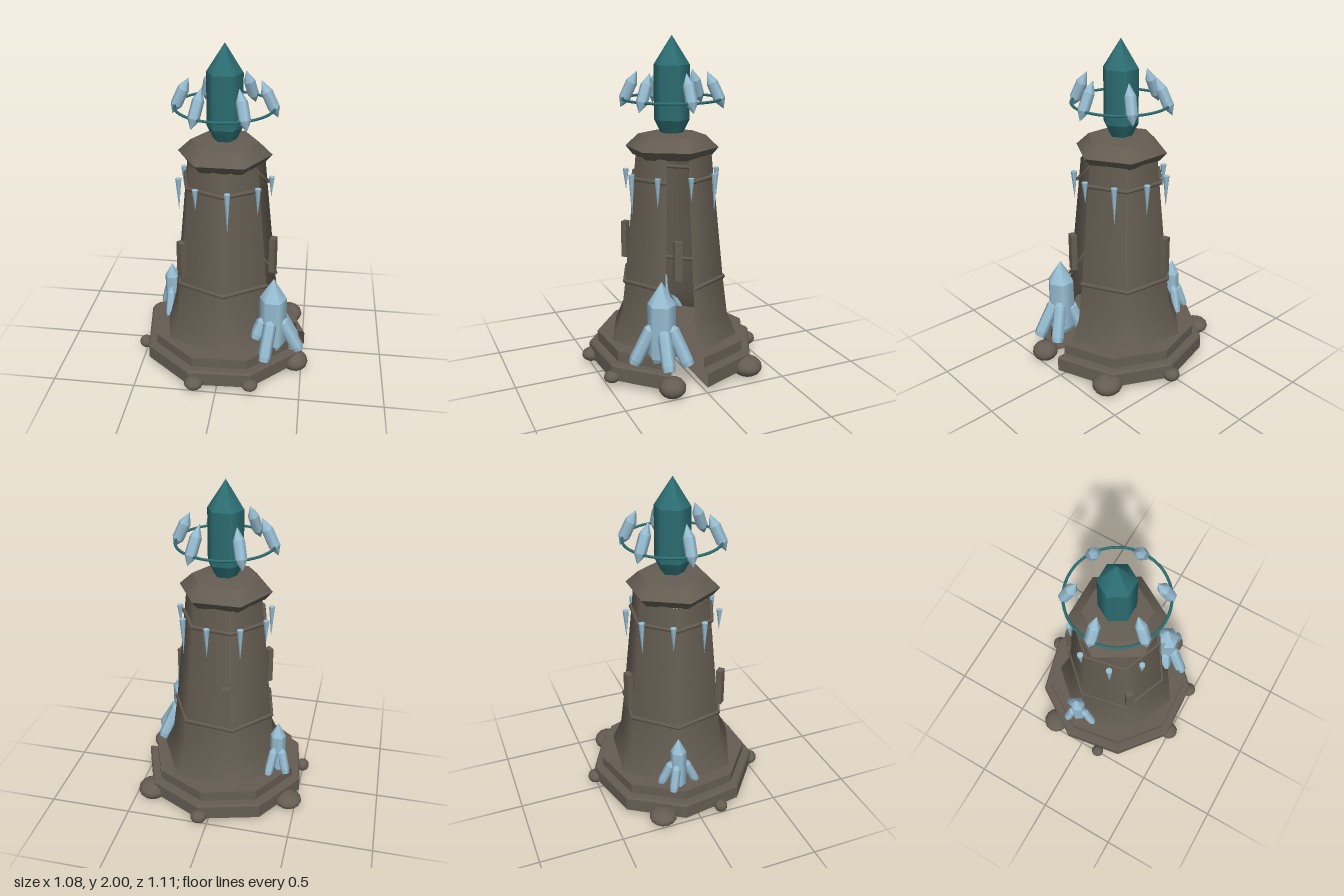
import * as THREE from 'three';
import { mergeGeometries } from 'three/addons/utils/BufferGeometryUtils.js';

const V = (x, y, z) => new THREE.Vector3(x, y, z);
const rad = THREE.MathUtils.degToRad;

export function createModel() {
  const model = new THREE.Group();
  const stone = new THREE.MeshStandardMaterial({ color: 0x655d52, side: THREE.DoubleSide });
  stone.name = 'stone';
  const ice = new THREE.MeshStandardMaterial({ color: 0x98bfd4 });
  ice.name = 'paleIce';
  const teal = new THREE.MeshStandardMaterial({ color: 0x2c6e73 });
  teal.name = 'teal';

  // The tower axis sits slightly off the origin
  const tower = new THREE.Group();
  tower.name = 'tower';
  tower.position.set(-0.005, 0, 0.005);
  model.add(tower);

  const add = (parent, name, geometry, material) => {
    const mesh = new THREE.Mesh(geometry, material);
    mesh.name = name;
    parent.add(mesh);
    return mesh;
  };
  const flat = (geometry) => {
    const g = geometry.toNonIndexed();
    g.computeVertexNormals();
    return g;
  };
  // Lathe that starts on +x and sweeps towards -z
  const lathe = (profile, segments, degrees) => new THREE.LatheGeometry(
    profile.map(([r, y]) => new THREE.Vector2(r, y)), segments, Math.PI / 2, rad(degrees));
  // Point on a circle, counted from +x towards -z
  const polar = (r, degrees, y) => V(r * Math.cos(rad(degrees)), y, -r * Math.sin(rad(degrees)));

  // Stack of hexagonal frustums through [radius, height] pairs, a corner on +x
  const hexStack = (profile) => {
    const parts = [];
    for (let i = 1; i < profile.length; i++) {
      const [r0, y0] = profile[i - 1];
      const [r1, y1] = profile[i];
      const g = new THREE.CylinderGeometry(r1, r0, y1 - y0, 6, 1, true);
      parts.push(g.translate(0, (y0 + y1) / 2, 0));
    }
    const [rb, yb] = profile[0];
    if (rb > 0) parts.push(new THREE.CircleGeometry(rb, 6).rotateX(Math.PI / 2).rotateY(Math.PI / 6).translate(0, yb, 0));
    return mergeGeometries(parts).rotateY(Math.PI / 6);
  };

  // Stepped plinth with an open wedge
  add(tower, 'plinth', flat(lathe([
    [0, 0.045], [0.517, 0.045], [0.517, 0.13], [0.508, 0.142], [0.464, 0.142],
    [0.464, 0.205], [0, 0.205]], 8, 336)), stone);

  // Tapering shaft with flared foot, open on the same side
  add(tower, 'shaft', lathe([[0.405, 0.205], [0.345, 0.34], [0.315, 0.575], [0.238, 1.32]], 6, 330), stone);

  // Bands around the shaft
  for (const [r, y] of [[0.318, 0.572], [0.257, 1.19]]) {
    const band = new THREE.TorusGeometry(r, 0.013, 6, 6, rad(330)).rotateX(-Math.PI / 2);
    add(tower, 'band', band, stone).position.y = y;
  }

  // Roof cap
  add(tower, 'cap', hexStack([[0.235, 1.31], [0.277, 1.36], [0.2, 1.432], [0, 1.45]]), stone);

  // Upright slabs on the shaft
  for (const angle of [103, 223, 343]) {
    const slab = add(tower, 'slab', new THREE.BoxGeometry(0.036, 0.23, 0.046), stone);
    slab.position.copy(polar(0.317, angle, 0.752));
    slab.rotation.y = rad(angle);
  }

  // Large crystal on the roof
  add(tower, 'beaconCrystal', hexStack([[0.065, 1.44], [0.105, 1.52], [0.105, 1.835], [0, 2]]), teal);

  // Floating ring with leaning shards
  add(tower, 'floatingRing', new THREE.TorusGeometry(0.284, 0.008, 8, 48).rotateX(Math.PI / 2), teal).position.y = 1.64;
  const shardGeometry = hexStack([[0, -0.118], [0.034, -0.06], [0.034, 0.045], [0, 0.118]]);
  for (let i = 0; i < 6; i++) {
    const shard = add(tower, 'floatingShard', shardGeometry, ice);
    shard.position.copy(polar(0.253, i * 60, 1.692));
    shard.rotation.set(0, rad(i * 60), rad(25));
  }

  // Icicles below the upper band
  [0.13, 0.23, 0.18, 0.2, 0.15, 0.2, 0.13, 0.25, 0.17].forEach((length, i) => {
    const icicle = new THREE.ConeGeometry(0.019, length, 6).rotateX(Math.PI);
    add(tower, 'icicle', icicle, ice).position.copy(polar(0.277, i * 40, 1.22 - length / 2));
  });

  // Boulders: x, z, radius, height radius
  const boulders = [
    [0.047, -0.505, 0.05, 0.04], [0.394, -0.315, 0.09, 0.06], [-0.458, -0.23, 0.083, 0.045],
    [-0.503, 0.13, 0.04, 0.04], [-0.132, 0.495, 0.058, 0.04], [0.203, 0.475, 0.049, 0.034],
    [0.462, 0.203, 0.079, 0.06]];
  for (const [x, z, r, h] of boulders) {
    const boulder = add(model, 'boulder', new THREE.SphereGeometry(r, 14, 10).scale(1, h / r, 1), stone);
    boulder.position.set(x, 0.064, z);
  }

  // Crystal running from foot to tip, with a pointed top
  const crystal = (parent, name, foot, tip, r, point) => {
    const axis = tip.clone().sub(foot);
    const length = axis.length();
    const mesh = add(parent, name, hexStack([[r * 0.85, 0], [r, 0.03], [r, length - point], [0, length]]), ice);
    mesh.position.copy(foot);
    mesh.quaternion.setFromUnitVectors(V(0, 1, 0), axis.normalize());
  };

  // Two crystal clusters at the foot of the tower
  const clusters = [
    { name: 'largeCluster', at: [0.315, 0.207], top: 0.65, r: 0.083, point: 0.135, small: 0.04,
      shards: [
        [0.445, 0.17, 0.095, 0.345, 0.41, 0.175], [0.48, 0.17, 0.23, 0.35, 0.4, 0.212],
        [0.277, 0.16, 0.365, 0.31, 0.41, 0.25], [0.215, 0.255, 0.265, 0.275, 0.4, 0.22],
        [0.235, 0.18, 0.115, 0.29, 0.38, 0.175]] },
    { name: 'smallCluster', at: [-0.362, -0.095], top: 0.53, r: 0.048, point: 0.09, small: 0.028,
      shards: [
        [-0.32, 0.2, -0.19, -0.35, 0.38, -0.12], [-0.425, 0.2, -0.15, -0.38, 0.38, -0.11],
        [-0.367, 0.2, 0.015, -0.362, 0.38, -0.065]] }];
  for (const c of clusters) {
    const group = new THREE.Group();
    group.name = c.name;
    model.add(group);
    const [x, z] = c.at;
    crystal(group, 'mainCrystal', V(x, 0.17, z), V(x, c.top, z), c.r, c.point);
    for (const [x0, y0, z0, x1, y1, z1] of c.shards) {
      crystal(group, 'sideCrystal', V(x0, y0, z0), V(x1, y1, z1), c.small, 0.05);
    }
  }
  return model;
}
